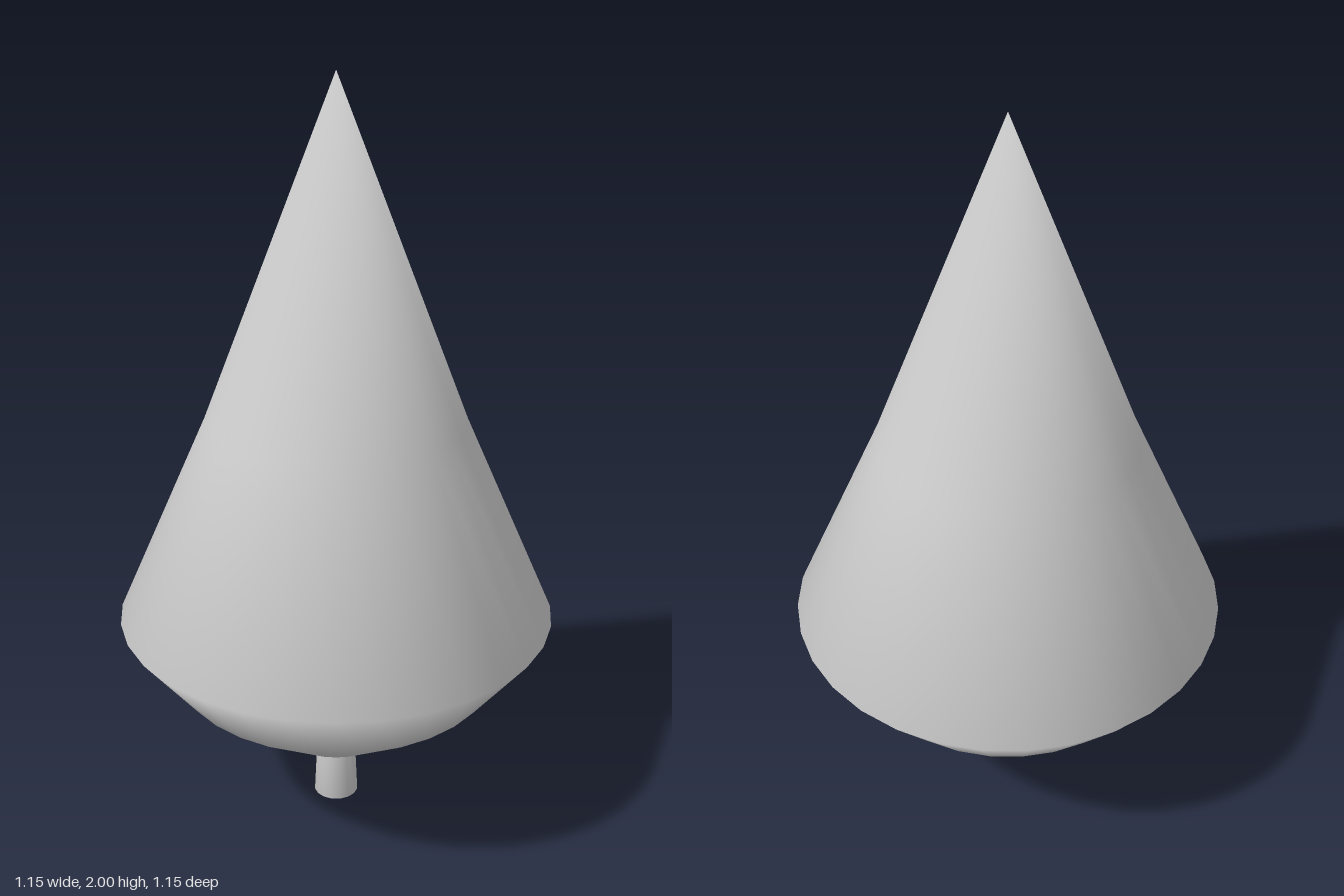
import * as THREE from 'three';
import { mergeVertices } from 'three/addons/utils/BufferGeometryUtils.js';

const material = new THREE.MeshStandardMaterial({ color: 0xcccccc });

// Closed turned solid whose normals are shared across every edge, so it shades softly.
function turned(name, profile, sides) {
  let geometry = new THREE.LatheGeometry(profile.map(([r, y]) => new THREE.Vector2(r, y)), sides);
  geometry.deleteAttribute('normal');
  geometry.deleteAttribute('uv');
  geometry = mergeVertices(geometry, 1e-4);
  geometry.computeVertexNormals();
  const mesh = new THREE.Mesh(geometry, material);
  mesh.name = name;
  return mesh;
}

export function createModel() {
  const tree = new THREE.Group();
  tree.name = 'tree';

  // Foliage: tapering underside, widest ring, then a slightly kinked cone
  tree.add(turned('foliage', [
    [0, 0.21], [0.165, 0.21], [0.43, 0.4], [0.577, 0.587], [0.337, 1.13], [0, 2],
  ], 32));

  // Trunk: short, flaring a little toward the ground
  tree.add(turned('trunk', [
    [0, 0], [0.061, 0], [0.051, 0.215], [0, 0.215],
  ], 16));

  return tree;
}
